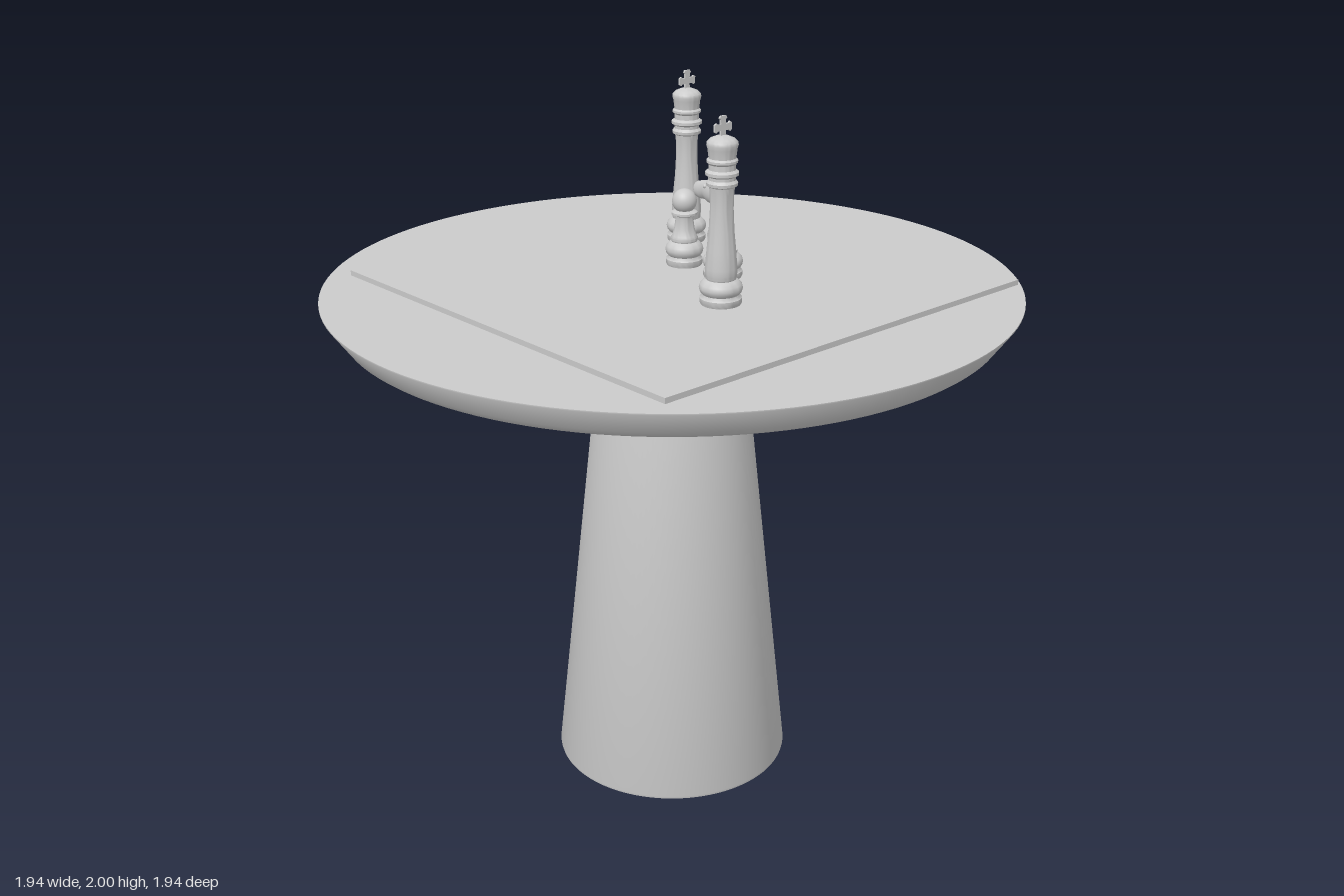
import * as THREE from 'three';
import { toCreasedNormals } from 'three/addons/utils/BufferGeometryUtils.js';

const material = new THREE.MeshStandardMaterial({ color: 0xcccccc });
const openMaterial = new THREE.MeshStandardMaterial({ color: 0xcccccc, side: THREE.DoubleSide });

function part(name, geometry, mat = material) {
  const mesh = new THREE.Mesh(geometry, mat);
  mesh.name = name;
  return mesh;
}

// Turned part from [radius, height] pairs, listed bottom to top
function turned(name, profile, segments = 40, mat = material) {
  const points = profile.map(([r, y]) => new THREE.Vector2(r, y));
  return part(name, toCreasedNormals(new THREE.LatheGeometry(points, segments), 0.7), mat);
}

// Closed loft of ellipses; each section is [z1, y1, z2, y2, halfWidth]
function loft(name, sections, n = 20) {
  const pos = [], idx = [];
  const addPoint = (x, y, z) => pos.push(x, y, z);
  for (const [z1, y1, z2, y2, w] of sections) {
    for (let j = 0; j < n; j++) {
      const t = (j / n) * Math.PI * 2, c = Math.cos(t) / 2;
      addPoint(w * Math.sin(t), (y1 + y2) / 2 + (y2 - y1) * c, (z1 + z2) / 2 + (z2 - z1) * c);
    }
  }
  const last = sections.length - 1;
  for (let i = 0; i < last; i++) {
    for (let j = 0; j < n; j++) {
      const a = i * n + j, b = i * n + (j + 1) % n;
      idx.push(a, a + n, b, b, a + n, b + n);
    }
  }
  // end caps
  for (const i of [0, last]) {
    const [z1, y1, z2, y2] = sections[i], centre = pos.length / 3;
    addPoint(0, (y1 + y2) / 2, (z1 + z2) / 2);
    for (let j = 0; j < n; j++) {
      const a = i * n + j, b = i * n + (j + 1) % n;
      if (i === 0) idx.push(centre, a, b);
      else idx.push(centre, b, a);
    }
  }
  const g = new THREE.BufferGeometry();
  g.setAttribute('position', new THREE.Float32BufferAttribute(pos, 3));
  g.setIndex(idx);
  g.computeVertexNormals();
  return part(name, g);
}

// Foot shared by all the pieces: stepped disc, round bulge, small collar
const foot = [
  [0, 0], [0.054, 0], [0.057, 0.006], [0.057, 0.018], [0.051, 0.024], [0.05, 0.028],
  [0.056, 0.035], [0.059, 0.045], [0.056, 0.056], [0.047, 0.065], [0.04, 0.069],
  [0.042, 0.073], [0.042, 0.079],
];

function createKing() {
  const king = new THREE.Group();
  king.name = 'king';
  king.add(turned('kingBody', [
    ...foot, [0.043, 0.085], [0.043, 0.1], [0.039, 0.15], [0.034, 0.2], [0.031, 0.26], [0.032, 0.3],
    [0.034, 0.318], [0.041, 0.322], [0.042, 0.33], [0.036, 0.337],
    [0.036, 0.345], [0.044, 0.35], [0.044, 0.358], [0.036, 0.364],
    [0.036, 0.378], [0.041, 0.383], [0.041, 0.389], [0.036, 0.394],
    [0.039, 0.418], [0.042, 0.428], [0.041, 0.436], [0.033, 0.444], [0.016, 0.451], [0, 0.454],
  ]));

  // Thin cross with four flared arms
  const shape = new THREE.Shape();
  for (let k = 0; k < 4; k++) {
    const c = Math.cos(k * Math.PI / 2), s = Math.sin(k * Math.PI / 2);
    [[0.008, -0.008], [0.02, -0.009], [0.024, -0.013], [0.03, -0.009], [0.03, 0.009], [0.024, 0.013], [0.02, 0.009]]
      .forEach(([x, y], i) => {
        const px = x * c - y * s, py = x * s + y * c;
        if (k === 0 && i === 0) shape.moveTo(px, py);
        else shape.lineTo(px, py);
      });
  }
  shape.closePath();
  const cross = part('kingCross', new THREE.ExtrudeGeometry(shape, { depth: 0.006, bevelEnabled: false }));
  cross.position.set(0, 0.473, -0.003);
  king.add(cross);
  return king;
}

function createPawn() {
  const pawn = new THREE.Group();
  pawn.name = 'pawn';
  pawn.add(turned('pawnBody', [
    ...foot.map(([r, y]) => [r * 0.92, y]), [0.035, 0.085], [0.029, 0.105], [0.025, 0.135],
    [0.026, 0.142], [0.037, 0.147], [0.037, 0.153], [0.02, 0.16], [0, 0.16],
  ]));
  const head = part('pawnHead', new THREE.SphereGeometry(0.035, 32, 20));
  head.position.y = 0.184;
  pawn.add(head);
  return pawn;
}

// Horse-headed piece, muzzle towards -z
function createKnight() {
  const knight = new THREE.Group();
  knight.name = 'knight';
  knight.add(turned('knightBase', [...foot.map(([r, y]) => [r * 0.96, y]), [0, 0.083]]));
  knight.add(loft('knightNeck', [
    [0.034, 0.076, -0.038, 0.076, 0.036],
    [0.024, 0.098, -0.048, 0.096, 0.034],
    [0.02, 0.12, -0.052, 0.116, 0.032],
    [0.024, 0.15, -0.04, 0.145, 0.028],
    [0.031, 0.185, -0.037, 0.17, 0.026],
    [0.03, 0.215, -0.044, 0.195, 0.025],
    [0.02, 0.247, -0.047, 0.225, 0.024],
    [0.01, 0.266, -0.044, 0.255, 0.02],
    [-0.006, 0.278, -0.034, 0.273, 0.01],
  ]));
  knight.add(loft('knightHead', [
    [-0.008, 0.272, -0.012, 0.2, 0.016],
    [-0.03, 0.274, -0.032, 0.197, 0.025],
    [-0.05, 0.268, -0.05, 0.2, 0.025],
    [-0.07, 0.26, -0.066, 0.207, 0.019],
    [-0.09, 0.256, -0.084, 0.205, 0.016],
    [-0.105, 0.251, -0.1, 0.207, 0.017],
    [-0.113, 0.242, -0.11, 0.217, 0.011],
  ]));
  // Mane crest down the back of the neck
  knight.add(loft('knightMane', [
    [0.03, 0.12, 0.01, 0.12, 0.006],
    [0.036, 0.18, 0.01, 0.18, 0.009],
    [0.035, 0.22, 0.01, 0.215, 0.009],
    [0.025, 0.25, 0, 0.24, 0.009],
    [0.005, 0.282, -0.02, 0.265, 0.007],
  ], 12));
  // Ears and eyes
  for (const side of [-1, 1]) {
    const ear = part('knightEar', new THREE.ConeGeometry(0.009, 0.044, 12));
    ear.position.set(side * 0.016, 0.282, -0.019);
    ear.rotation.set(0.12, 0, -side * 0.15);
    const eye = part('knightEye', new THREE.SphereGeometry(0.006, 12, 8));
    eye.position.set(side * 0.021, 0.25, -0.052);
    knight.add(ear, eye);
  }
  return knight;
}

export function createModel() {
  const model = new THREE.Group();
  model.name = 'chessTable';

  // Hollow tapered pedestal, open underneath
  model.add(turned('pedestal', [
    [0.337, 0], [0.343, 0.004], [0.345, 0.012], [0.198, 1.375], [0.195, 1.386], [0.187, 1.393], [0.17, 1.396], [0, 1.396],
  ], 96, openMaterial));

  // Round top with a slanted underside edge
  model.add(turned('tableTop', [
    [0, 1.396], [0.895, 1.396], [0.908, 1.399], [0.919, 1.407], [0.926, 1.417], [0.97, 1.478], [0.97, 1.482], [0, 1.482],
  ], 128));

  // Thin square playing board
  const board = part('board', new THREE.BoxGeometry(1.323, 0.018, 1.323));
  board.position.set(0.037, 1.488, 0);
  model.add(board);

  // Pieces standing on the board
  const place = (piece, x, z) => {
    piece.position.set(x, 1.497, z);
    model.add(piece);
  };
  place(createKing(), -0.054, 0.252);
  place(createKing(), 0.286, -0.25);
  place(createKnight(), 0.115, 0.084);
  place(createPawn(), 0.115, -0.074);
  return model;
}
